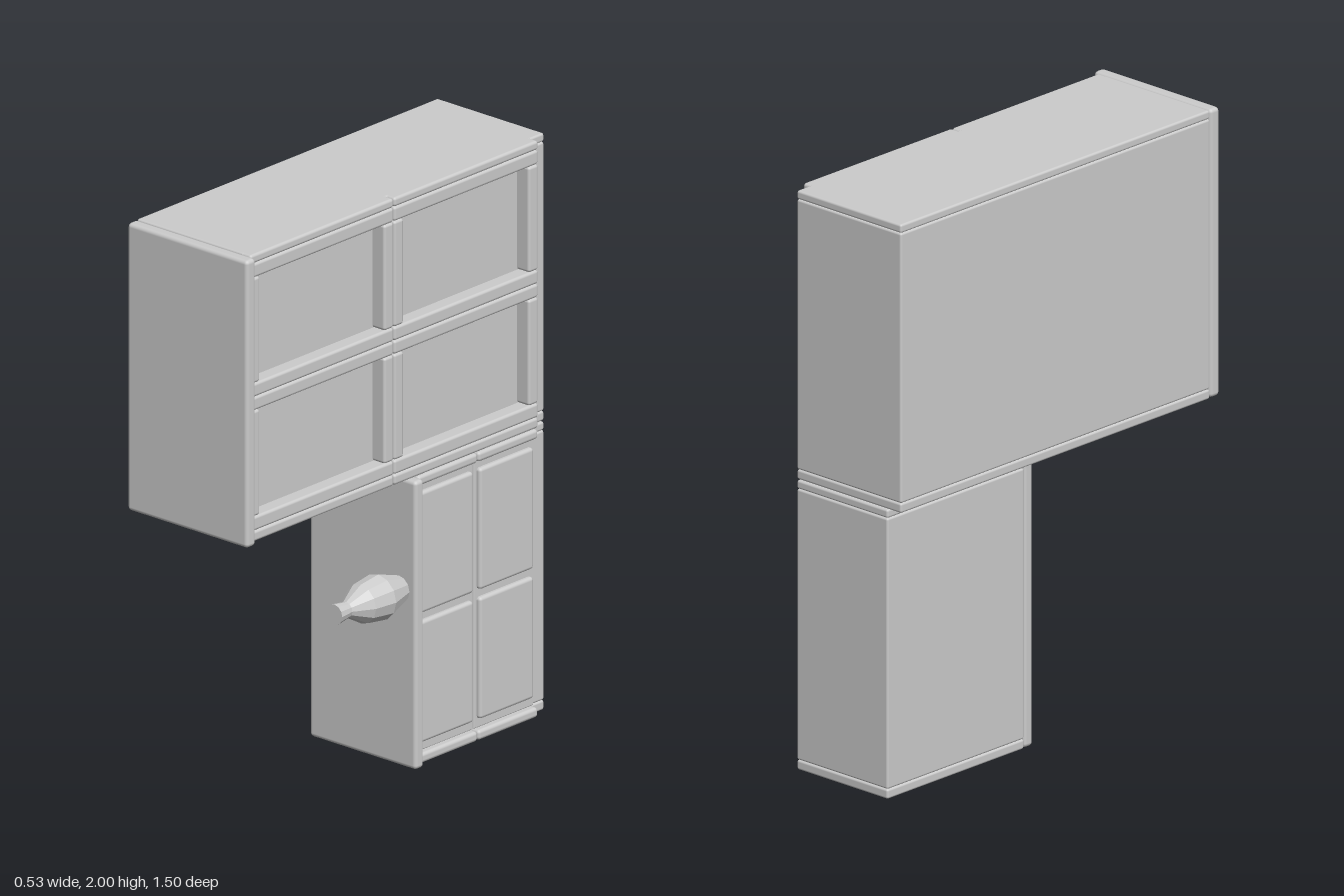
import * as THREE from 'three';
import { RoundedBoxGeometry } from 'three/addons/geometries/RoundedBoxGeometry.js';

const grey = new THREE.MeshStandardMaterial({ color: 0xcccccc });
grey.name = 'cabinet grey';

// Soft-edged board given by its limits on each axis
function board(parent, name, [x0, x1], [y0, y1], [z0, z1], r = 0.008) {
  const size = [x1 - x0, y1 - y0, z1 - z0];
  const radius = Math.min(r, Math.min(...size) * 0.45);
  const mesh = new THREE.Mesh(new RoundedBoxGeometry(...size, 2, radius), grey);
  mesh.position.set((x0 + x1) / 2, (y0 + y1) / 2, (z0 + z1) / 2);
  mesh.name = name;
  parent.add(mesh);
}

// Closed box: bottom and top boards, a back board and a core set back behind the doors
function carcass(parent, left, coreRight, [y0, y1], [z0, z1]) {
  const inner = [y0 + 0.034, y1 - 0.03];
  board(parent, 'bottomBoard', [left, 0.2], [y0, inner[0]], [z0, z1]);
  board(parent, 'topBoard', [left, 0.2], [inner[1], y1], [z0, z1]);
  board(parent, 'core', [left, coreRight], inner, [z0, z1]);
  board(parent, 'backBoard', [left + 0.02, 0.2], inner, [z0, -0.687]);
}

function wallCabinet() {
  const g = new THREE.Group();
  g.name = 'wallCabinet';
  carcass(g, -0.265, 0.18, [1.003, 2], [-0.75, 0.703]);
  board(g, 'endPanel', [-0.265, 0.258], [1.003, 2], [0.705, 0.75], 0.014);

  // Two bays of rails and stiles, with the core showing as recessed panels
  for (const [z0, z1] of [[-0.687, 0.009], [0.011, 0.703]]) {
    const bay = new THREE.Group();
    bay.name = 'doorBay';
    g.add(bay);
    const rails = [[1.003, 1.04], [1.04, 1.09], [1.457, 1.504], [1.504, 1.552], [1.918, 1.968], [1.968, 2]];
    for (const y of rails) board(bay, 'rail', [0.165, 0.232], y, [z0, z1], 0.01);
    for (const y of [[1.09, 1.457], [1.552, 1.918]]) {
      for (const z of [z0, z1 - 0.046]) board(bay, 'stile', [0.165, 0.232], y, [z, z + 0.046], 0.01);
    }
  }
  return g;
}

function baseCabinet() {
  const g = new THREE.Group();
  g.name = 'baseCabinet';
  carcass(g, -0.205, 0.195, [0, 1], [-0.75, -0.107]);
  board(g, 'endPanel', [-0.205, 0.258], [0, 1], [-0.107, -0.064], 0.014);

  // Two doors with raised pads between the rails
  for (const [z0, z1] of [[-0.687, -0.398], [-0.396, -0.107]]) {
    const door = new THREE.Group();
    door.name = 'door';
    g.add(door);
    for (const y of [[0, 0.035], [0.965, 1]]) board(door, 'rail', [0.19, 0.232], y, [z0, z1], 0.012);
    board(door, 'doorSlab', [0.19, 0.21], [0.036, 0.964], [z0, z1], 0.004);
    for (const y of [[0.068, 0.49], [0.517, 0.938]]) {
      board(door, 'raisedPad', [0.195, 0.226], y, [z0 + 0.014, z1 - 0.014], 0.012);
    }
  }
  return g;
}

// Faceted turned handle pointing forward
function handle() {
  const profile = [[0, 0], [0.046, 0], [0.078, 0.1], [0.067, 0.185],
    [0.027, 0.255], [0.035, 0.313], [0, 0.313]].map(([r, h]) => new THREE.Vector2(r, h));
  const geo = new THREE.LatheGeometry(profile, 12).toNonIndexed();
  geo.computeVertexNormals();
  const mesh = new THREE.Mesh(geo, grey);
  mesh.rotation.x = Math.PI / 2;
  mesh.position.set(0.185, 0.613, -0.065);
  mesh.name = 'turnedHandle';
  return mesh;
}

export function createModel() {
  const model = new THREE.Group();
  model.name = 'cabinets';
  model.add(wallCabinet(), baseCabinet(), handle());
  return model;
}
